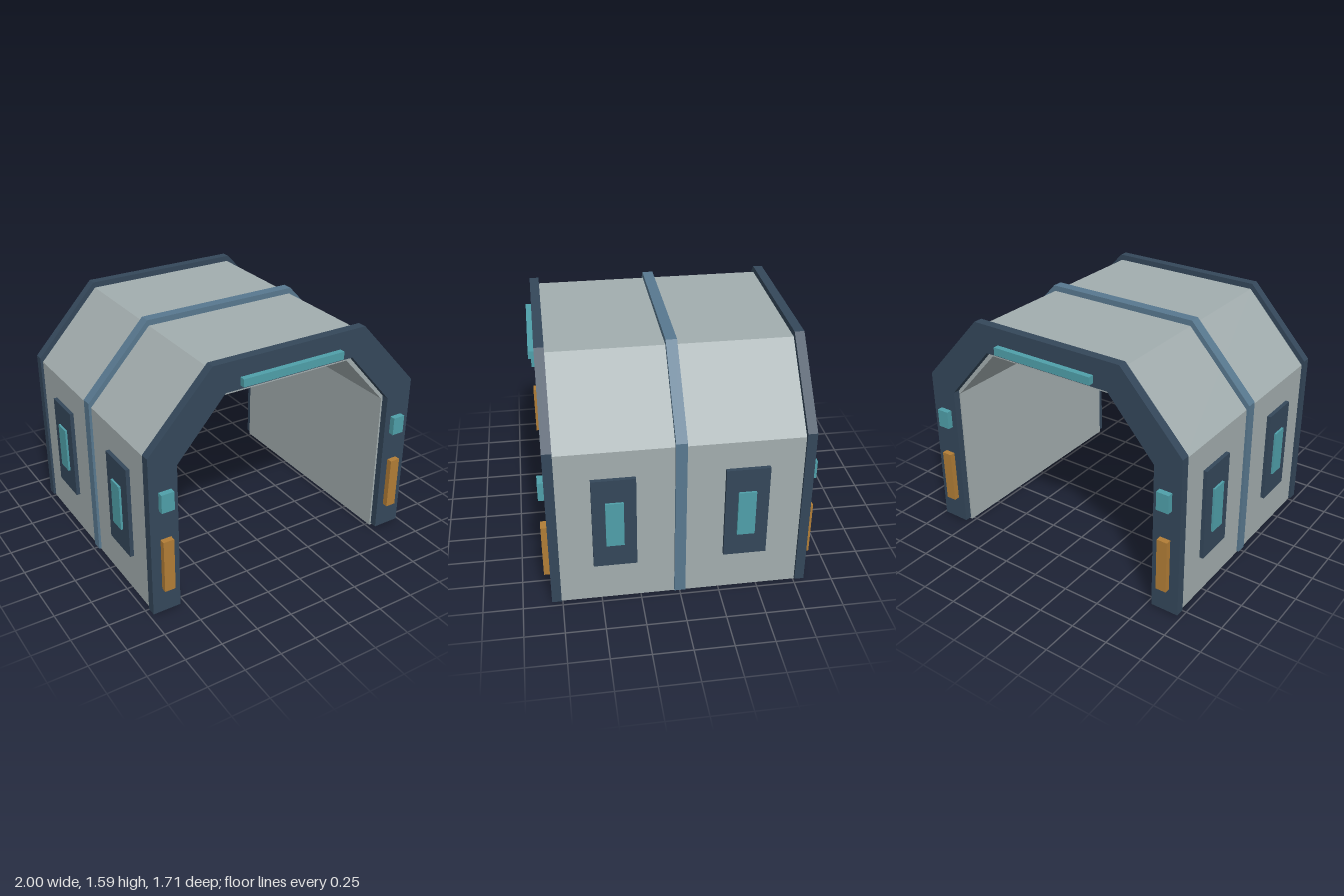
import * as THREE from 'three';

const mat = (name, color) => {
  const m = new THREE.MeshStandardMaterial({ color });
  m.name = name;
  return m;
};

// Closed outline of an angular arch, open at the floor.
function archShape(base, outer, inner) {
  const s = new THREE.Shape();
  const half = ({ side, shoulder, top, topX }) => [[side, base], [side, shoulder], [topX, top]];
  const mirror = (pts) => pts.map(([x, y]) => [-x, y]).reverse();
  const o = half(outer), i = half(inner);
  const pts = [...o, ...mirror(o), ...i.map(([x, y]) => [-x, y]), ...mirror(i).map(([x, y]) => [-x, y]).map(([x, y]) => [x, y]).map(([x, y]) => [x, y])];
  s.setFromPoints(pts.map(([x, y]) => new THREE.Vector2(x, y)));
  return s;
}

export function createModel() {
  const model = new THREE.Group();
  model.name = 'archCorridor';
  const grey = mat('panelGrey', 0xa2adae);
  const navy = mat('frameNavy', 0x34475a);
  const blue = mat('ribBlue', 0x58788f);
  const teal = mat('lightTeal', 0x4f9fa9);
  const amber = mat('markerAmber', 0xb17d36);

  const arch = (name, shape, z0, z1, material) => {
    const g = new THREE.ExtrudeGeometry(shape, { depth: z1 - z0, bevelEnabled: false });
    g.translate(0, 0, z0);
    const m = new THREE.Mesh(g, material);
    m.name = name;
    model.add(m);
  };
  // Box given by its extents along each axis.
  const box = (name, [x0, x1], [y0, y1], [z0, z1], material) => {
    const m = new THREE.Mesh(new THREE.BoxGeometry(x1 - x0, y1 - y0, z1 - z0), material);
    m.position.set((x0 + x1) / 2, (y0 + y1) / 2, (z0 + z1) / 2);
    m.name = name;
    model.add(m);
  };
  const span = (s, a, b) => (s > 0 ? [a, b] : [-b, -a]);

  // Shell, end frames and middle rib
  const shell = archShape(0,
    { side: 0.96, shoulder: 1.09, top: 1.55, topX: 0.535 },
    { side: 0.775, shoulder: 1.005, top: 1.36, topX: 0.455 });
  const frame = archShape(0.01,
    { side: 0.977, shoulder: 1.12, top: 1.588, topX: 0.545 },
    { side: 0.787, shoulder: 1.025, top: 1.398, topX: 0.46 });
  arch('shell', shell, -0.77, 0.77, grey);
  arch('frontFrame', frame, 0.757, 0.818, navy);
  arch('backFrame', frame, -0.818, -0.757, navy);
  arch('middleRib', frame, -0.035, 0.035, blue);

  for (const end of [1, -1]) {
    // Lights and markers on both end frames
    const z = span(end, 0.81, 0.856);
    box('headerLight', [-0.362, 0.362], [1.424, 1.476], z, teal);
    for (const side of [1, -1]) {
      box('postLight', span(side, 0.829, 0.915), [0.755, 0.88], z, teal);
      box('postMarker', span(side, 0.839, 0.911), [0.183, 0.547], z, amber);
      // Wall panels with lit centres
      box('wallPanel', span(side, 0.95, 0.986), [0.275, 0.908], span(end, 0.273, 0.545), navy);
      box('wallLight', span(side, 0.98, 1), [0.435, 0.748], span(end, 0.351, 0.463), teal);
    }
  }
  return model;
}
